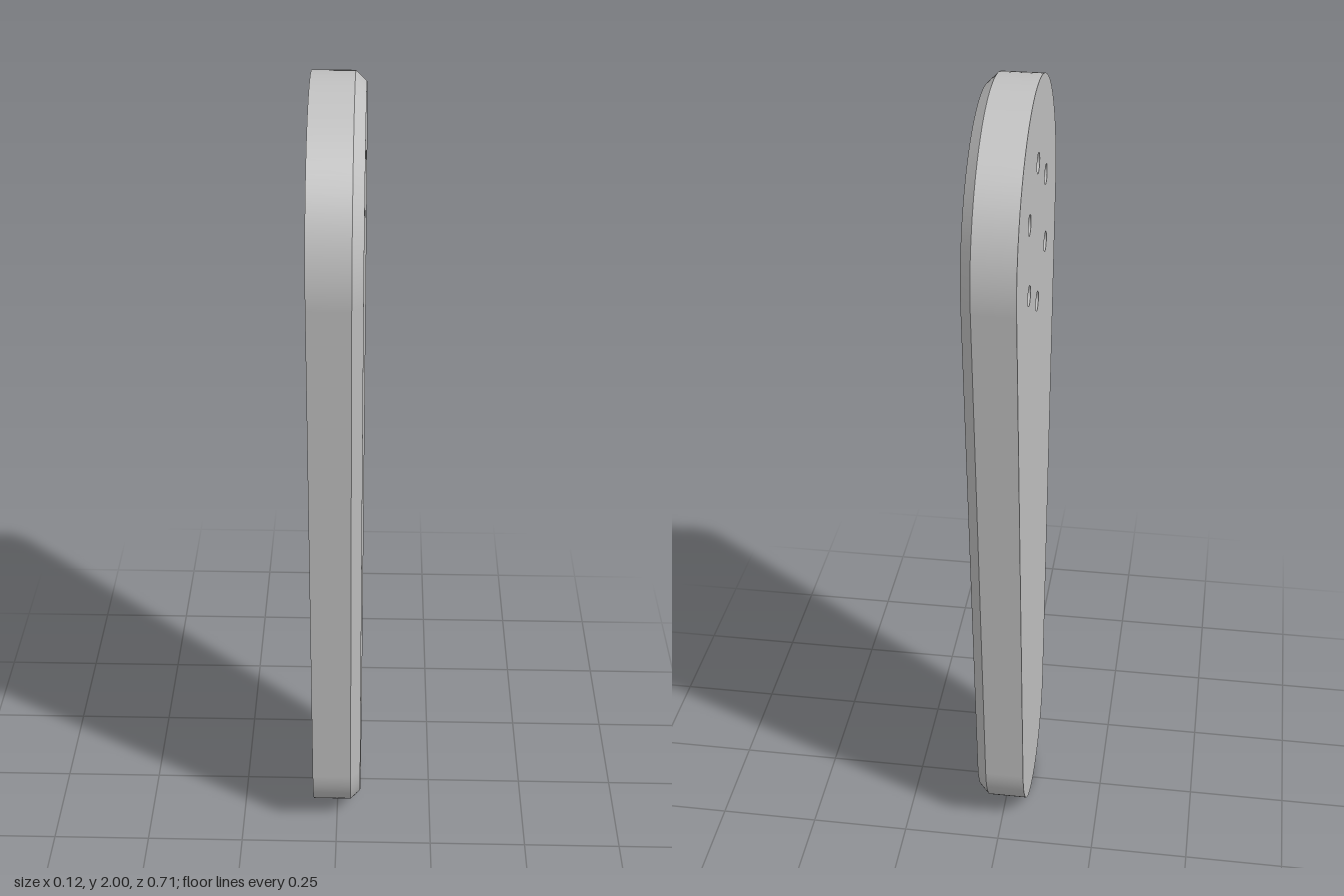
import * as THREE from 'three';

const BACK = -0.062, SHOULDER = 0.037, FACE = 0.062; // depths along x
const CHAMFER = 0.024;
const TOP = { y: 1.643, r: 0.357 }, BOTTOM = { y: 0.213, r: 0.213 };
const HOLE_RADIUS = 0.024, HOLE_CIRCLE = 0.17;

// Counter-clockwise arc points, each with its outward direction
function arc(cx, cy, r, from, to, steps) {
  return Array.from({ length: steps + 1 }, (_, i) => {
    const a = from + (to - from) * i / steps, nx = Math.cos(a), ny = Math.sin(a);
    return { x: cx + r * nx, y: cy + r * ny, nx, ny };
  });
}

// Two round ends joined by tangent sides
function outline(inset) {
  const t = Math.asin((TOP.r - BOTTOM.r) / (TOP.y - BOTTOM.y));
  return [
    ...arc(0, TOP.y, TOP.r - inset, -t, Math.PI + t, 64),
    ...arc(0, BOTTOM.y, BOTTOM.r - inset, Math.PI + t, 2 * Math.PI - t, 48),
  ];
}

// Smooth closed wall between two matching rings
function wall(ringA, wA, ringB, wB, inward = false) {
  const pos = [], nor = [], idx = [], n = ringA.length, s = inward ? -1 : 1;
  ringA.forEach((a, i) => {
    const b = ringB[i];
    const shrink = (a.x - b.x) * a.nx + (a.y - b.y) * a.ny;
    const len = Math.hypot(wB - wA, shrink);
    const k = s * (wB - wA) / len;
    pos.push(a.x, a.y, wA, b.x, b.y, wB);
    for (let j = 0; j < 2; j++) nor.push(a.nx * k, a.ny * k, s * shrink / len);
    const p = 2 * i, q = 2 * ((i + 1) % n);
    if (inward) idx.push(p, q + 1, q, p, p + 1, q + 1);
    else idx.push(p, q, q + 1, p, q + 1, p + 1);
  });
  const g = new THREE.BufferGeometry();
  g.setAttribute('position', new THREE.Float32BufferAttribute(pos, 3));
  g.setAttribute('normal', new THREE.Float32BufferAttribute(nor, 3));
  g.setIndex(idx);
  return g;
}

export function createModel() {
  const model = new THREE.Group();
  model.name = 'taperedPlate';
  const grey = new THREE.MeshStandardMaterial({ color: 0xc0c0c0 });
  grey.name = 'grey';

  // Drawn in the xy plane, then turned so its depth runs along x
  const add = (name, geometry) => {
    geometry.rotateY(Math.PI / 2);
    const mesh = new THREE.Mesh(geometry, grey);
    mesh.name = name;
    model.add(mesh);
  };

  const outer = outline(0), inner = outline(CHAMFER);
  const holes = Array.from({ length: 6 }, (_, i) => {
    const a = Math.PI / 2 + i * Math.PI / 3;
    return arc(HOLE_CIRCLE * Math.cos(a), TOP.y + HOLE_CIRCLE * Math.sin(a),
      HOLE_RADIUS, 0, 2 * Math.PI, 32).slice(0, -1);
  });

  // Flat faces, pierced by the bolt holes
  const toVectors = ring => ring.map(p => new THREE.Vector2(p.x, p.y));
  const flat = ring => {
    const shape = new THREE.Shape(toVectors(ring));
    shape.holes = holes.map(h => new THREE.Path(toVectors(h)));
    return new THREE.ShapeGeometry(shape);
  };
  add('chamferedFace', flat(inner).translate(0, 0, FACE));
  add('backFace', flat(outer).rotateY(Math.PI).translate(0, 0, BACK));

  // Rim and chamfer
  add('rim', wall(outer, BACK, outer, SHOULDER));
  add('chamfer', wall(outer, SHOULDER, inner, FACE));

  // Hole walls
  holes.forEach((h, i) => add(`boltHole${i + 1}`, wall(h, BACK, h, FACE, true)));

  return model;
}
